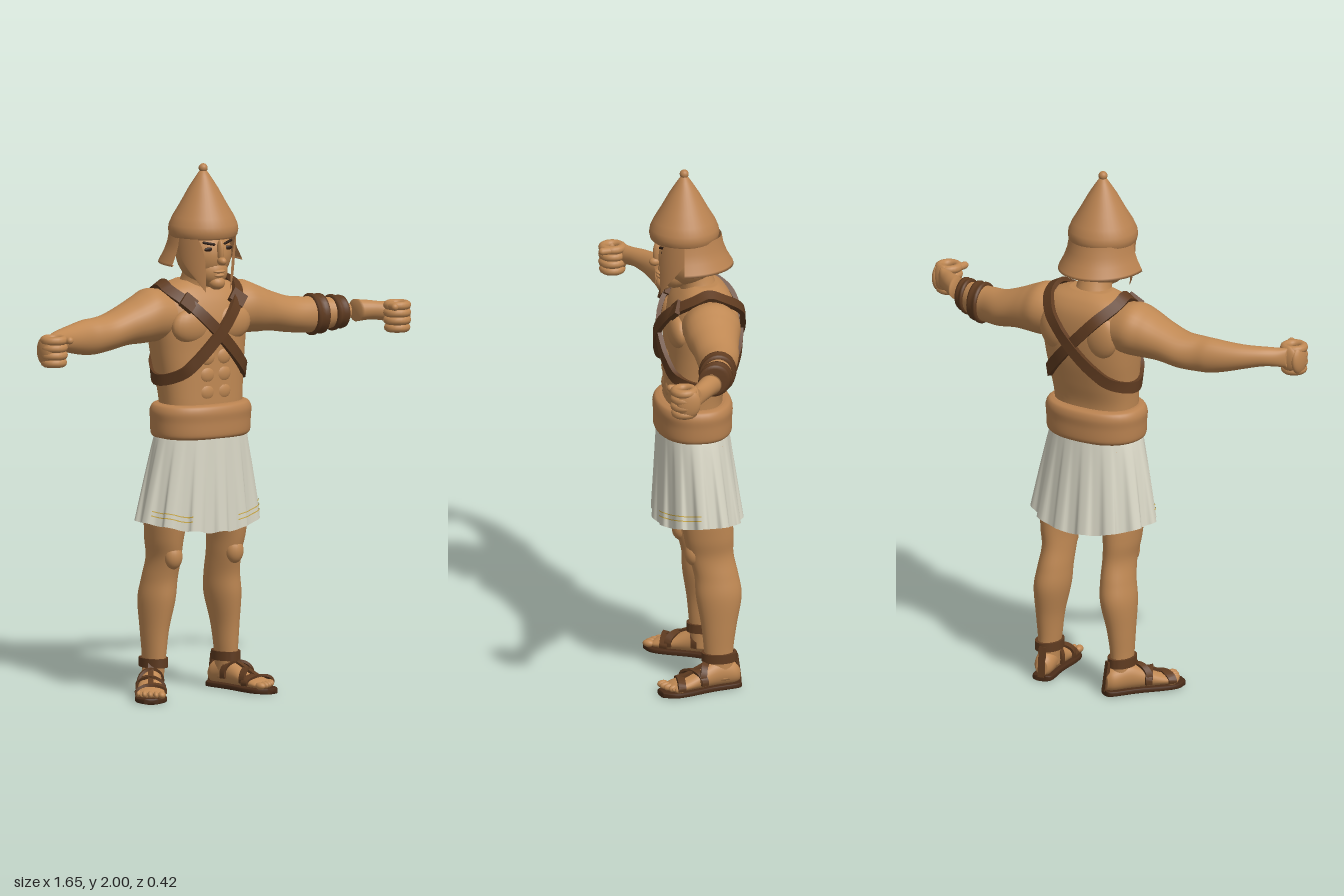
import * as THREE from 'three';
import { toCreasedNormals } from 'three/addons/utils/BufferGeometryUtils.js';
import { ParametricGeometry } from 'three/addons/geometries/ParametricGeometry.js';

const mat = (name, color, side = THREE.FrontSide) => {
  const m = new THREE.MeshStandardMaterial({ color, side });
  m.name = name;
  return m;
};
const V = (x, y, z) => new THREE.Vector3(x, y, z);

// Smoothly resample rings [t, a, b, ra, rb]
function sample(rings, n = 6) {
  const out = [], last = rings.length - 1;
  for (let i = 0; i < last; i++) for (let k = 0; k < n; k++) {
    const t = k / n, p = [i - 1, i, i + 1, i + 2].map(j => rings[Math.min(last, Math.max(0, j))]);
    out.push(rings[0].map((_, c) => {
      const [a, b, d, e] = p.map(r => r[c]);
      return b + 0.5 * t * (d - a + t * (2 * a - 5 * b + 4 * d - e + t * (3 * (b - d) + e - a)));
    }));
  }
  out.push(rings[last]);
  return out;
}
function ringAt(dense, t) {
  let i = 0;
  while (i < dense.length - 2 && dense[i + 1][0] < t) i++;
  const f = (t - dense[i][0]) / (dense[i + 1][0] - dense[i][0]);
  return dense[i].map((v, c) => v + (dense[i + 1][c] - v) * f);
}
// Capped skin over super-elliptic rings stacked along an axis
function loft(rings, axis, pow = 1, seg = 28) {
  const pos = [], idx = [], n = rings.length, flip = axis === 'y';
  const put = (t, a, b) => pos.push(...(axis === 'y' ? [a, t, b] : axis === 'x' ? [t, a, b] : [a, b, t]));
  const tri = (a, b, c) => idx.push(...(flip ? [a, c, b] : [a, b, c]));
  const se = v => Math.sign(v) * Math.abs(v) ** pow;
  for (const [t, a, b, ra, rb] of rings) for (let j = 0; j < seg; j++) {
    const th = j / seg * Math.PI * 2;
    put(t, a + ra * se(Math.cos(th)), b + rb * se(Math.sin(th)));
  }
  put(...rings[0]); put(...rings[n - 1]);
  for (let j = 0; j < seg; j++) {
    const k = (j + 1) % seg, e = (n - 1) * seg;
    for (let i = 0; i < n - 1; i++) {
      const p = i * seg, q = p + seg;
      tri(p + j, p + k, q + k); tri(p + j, q + k, q + j);
    }
    tri(n * seg, k, j); tri(n * seg + 1, e + j, e + k);
  }
  const g = new THREE.BufferGeometry();
  g.setAttribute('position', new THREE.Float32BufferAttribute(pos, 3));
  g.setIndex(idx);
  g.computeVertexNormals();
  return g;
}
function mirror(g, s) {
  if (s > 0) return g;
  g.scale(-1, 1, 1);
  const a = g.index.array;
  for (let i = 0; i < a.length; i += 3) [a[i], a[i + 1]] = [a[i + 1], a[i]];
  return g;
}
// Flat strap along a curve; centre(p) gives the point it faces away from
function strap(points, centre, w, h, closed, n = 90) {
  const curve = new THREE.CatmullRomCurve3(points, closed), pos = [], idx = [];
  const rows = closed ? n : n + 1;
  for (let i = 0; i < rows; i++) {
    const p = curve.getPoint(i / n), t = curve.getTangent(i / n);
    const nn = p.clone().sub(centre(p));
    nn.addScaledVector(t, -nn.dot(t)).normalize();
    const b = t.clone().cross(nn);
    for (const [x, y] of [[1, 1], [-1, 1], [-1, -1], [1, -1]])
      pos.push(...p.clone().addScaledVector(b, x * w / 2).addScaledVector(nn, y * h / 2).toArray());
  }
  for (let i = 0; i < n; i++) for (let j = 0; j < 4; j++) {
    const k = (j + 1) % 4, a = i * 4, d = ((i + 1) % rows) * 4;
    idx.push(a + j, d + j, d + k, a + j, d + k, a + k);
  }
  if (!closed) idx.push(0, 1, 2, 0, 2, 3, n * 4, n * 4 + 2, n * 4 + 1, n * 4, n * 4 + 3, n * 4 + 2);
  const g = new THREE.BufferGeometry();
  g.setAttribute('position', new THREE.Float32BufferAttribute(pos, 3));
  g.setIndex(idx);
  return toCreasedNormals(g, 0.7);
}

export function createModel() {
  const root = new THREE.Group();
  const skin = mat('skin', 0xbf8853), bronze = mat('bronze', 0xb98250, THREE.DoubleSide);
  const leather = mat('leather', 0x5f3b20), sole = mat('sole', 0x4a2c18);
  const cloth = mat('linen', 0xd9d7c6, THREE.DoubleSide), gold = mat('gold trim', 0xd2b04c, THREE.DoubleSide);
  const dark = mat('dark eyes', 0x2b1a10);
  const add = (name, g, m, parent = root) => {
    const mesh = new THREE.Mesh(g, m);
    mesh.name = name;
    parent.add(mesh);
    return mesh;
  };
  const ball = (name, m, p, r, parent = root) =>
    add(name, new THREE.SphereGeometry(1, 20, 14).scale(...r).translate(...p), m, parent);

  // Torso with muscles, and neck
  const torso = sample([[0.93, 0, -0.02, 0.165, 0.115], [1.05, 0, -0.02, 0.163, 0.108], [1.12, 0, -0.02, 0.165, 0.107],
    [1.2, 0, -0.03, 0.172, 0.116], [1.3, 0, -0.042, 0.185, 0.126], [1.4, 0, -0.047, 0.195, 0.13],
    [1.48, 0, -0.055, 0.192, 0.116], [1.53, 0, -0.058, 0.16, 0.088], [1.56, 0, -0.056, 0.08, 0.055]]);
  add('torso', loft(torso, 'y', 0.8, 40), skin);
  add('neck', loft(sample([[1.48, 0, -0.055, 0.1, 0.08], [1.55, 0, -0.04, 0.07, 0.068], [1.6, 0, -0.02, 0.062, 0.066],
    [1.66, 0, 0, 0.06, 0.06]]), 'y'), skin);
  for (const s of [1, -1]) {
    ball('chestMuscle', skin, [s * 0.085, 1.4, 0.05], [0.088, 0.068, 0.04]);
    ball('shoulderBlade', skin, [s * 0.095, 1.41, -0.14], [0.075, 0.09, 0.04]);
    for (const y of [1.28, 1.215, 1.15]) ball('abdominal', skin, [s * 0.035, y, 0.073], [0.036, 0.034, 0.018]);
  }

  // Crossed chest straps looping over shoulder and under the opposite arm
  const strapPoint = (s, f, side, lift) => {
    const y = 1.53 - 0.335 * s, x = 0.148 - 0.315 * s, r = ringAt(torso, y);
    const z = r[4] * Math.max(0, 1 - Math.abs(x / r[3]) ** 2.5) ** 0.4;
    return V(side * x, y, r[2] + f * (z + lift + 0.018 * Math.sin(Math.PI * s)));
  };
  for (const s of [1, -1]) {
    const lift = s > 0 ? 0.012 : 0.006, steps = [0, 0.15, 0.3, 0.45, 0.6, 0.75, 0.9];
    const pts = [V(s * 0.152, 1.552, -0.055), ...steps.map(k => strapPoint(k, 1, s, lift)), V(-s * 0.18, 1.195, -0.03),
      ...steps.reverse().map(k => strapPoint(k, -1, s, lift))];
    add('chestStrap', strap(pts, p => V(p.x * 0.55, Math.min(p.y, 1.42), -0.04), 0.042, 0.018, true), leather);
    const pad = add('strapBuckle', new THREE.BoxGeometry(0.06, 0.055, 0.02), leather);
    pad.position.copy(strapPoint(0.12, 1, s, 0.014));
    pad.rotation.set(-0.5, 0, -s * 0.75);
  }

  // Waist belt
  add('belt', loft(sample([[0.975, 0, -0.02, 0.182, 0.13], [0.99, 0, -0.02, 0.195, 0.143], [1.04, 0, -0.02, 0.198, 0.144],
    [1.075, 0, -0.02, 0.2, 0.146], [1.098, 0, -0.02, 0.19, 0.138], [1.105, 0, -0.02, 0.172, 0.12]]), 'y', 0.9, 40), bronze);

  // Pleated kilt, v = 0 at the hem
  const kilt = (a, v, off, out) => {
    const k = 1 - v, fold = Math.tanh(2 * Math.cos(13 * a + 0.9 * Math.sin(2 * a)));
    const f = 1 + fold * 0.045 * k;
    const rx = 0.182 + 0.068 * k ** 0.85, rz = 0.132 + 0.031 * k;
    const hem = (0.018 * Math.cos(2 * a) - 0.004 * fold) * k;
    out.set(Math.sin(a) * (rx * f + off), 1.0 - 0.355 * k - hem, -0.018 - 0.019 * k + Math.cos(a) * (rz * f + off));
  };
  add('kilt', new ParametricGeometry((u, v, p) => kilt((u - 0.5) * Math.PI * 2, v, 0, p), 220, 12), cloth);
  for (const v of [0.09, 0.14]) for (const a of [0.32, -1.3]) add('kiltTrim', new ParametricGeometry((u, w, p) =>
    kilt(a + u * (a > 0 ? 1.1 : 0.8), v + w * 0.011, 0.003, p), 60, 1), gold);

  // Arms; the left forearm is broken by a gap past the bracers
  const arm = sample([[0.12, 1.43, -0.055, 0.09, 0.1], [0.2, 1.438, -0.058, 0.1, 0.108], [0.26, 1.427, -0.052, 0.09, 0.1],
    [0.32, 1.413, -0.05, 0.077, 0.088], [0.4, 1.392, -0.045, 0.069, 0.078], [0.47, 1.385, -0.03, 0.068, 0.064],
    [0.52, 1.385, -0.023, 0.066, 0.058], [0.58, 1.387, -0.005, 0.056, 0.052], [0.64, 1.391, 0.02, 0.045, 0.046],
    [0.7, 1.394, 0.055, 0.037, 0.041], [0.745, 1.39, 0.088, 0.036, 0.036], [0.775, 1.388, 0.105, 0.04, 0.022]]);
  add('rightArm', mirror(loft(arm, 'x'), -1), skin);
  add('leftArm', loft(arm.filter(r => r[0] <= 0.611), 'x'), skin);
  add('leftArmStub', loft([[0.6, 1.385, 0.015, 0.035, 0.025], [0.64, 1.39, 0.022, 0.028, 0.018]], 'x'), skin);
  add('leftWrist', loft(arm.filter(r => r[0] >= 0.655), 'x'), skin);
  for (const [a, b] of [[0.492, 0.542], [0.572, 0.617]]) {
    const ring = (x, o) => { const r = ringAt(arm, x); return [x, r[1], r[2], r[3] + o, r[4] + o]; };
    add('bracer', loft([ring(a, 0.001), ring(a + 0.003, 0.011), ring(a + 0.012, 0.012), ring(a + 0.018, 0.007),
      ring(b - 0.018, 0.007), ring(b - 0.012, 0.012), ring(b - 0.003, 0.011), ring(b, 0.001)], 'x'), leather);
  }

  // Fists curled around an empty grip
  for (const s of [1, -1]) {
    const hand = new THREE.Group();
    hand.name = s > 0 ? 'leftHand' : 'rightHand';
    hand.position.set(s * 0.77, 0, 0.147);
    root.add(hand);
    [1.334, 1.362, 1.39, 1.418].forEach((y, i) => {
      const g = new THREE.TorusGeometry(0.036 - (i === 0 ? 0.003 : 0), 0.0165, 10, 24).rotateX(Math.PI / 2);
      add('finger', g.translate(0, y, 0), skin, hand);
    });
    ball('palm', skin, [s * 0.032, 1.378, -0.012], [0.021, 0.056, 0.045], hand);
    ball('palmHeel', skin, [s * 0.002, 1.385, -0.04], [0.04, 0.05, 0.018], hand);
    const thumb = new THREE.CapsuleGeometry(0.014, 0.05, 6, 12).rotateX(Math.PI / 2).rotateY(s * -0.15);
    add('thumb', thumb.translate(-s * 0.037, 1.418, 0.02), skin, hand);
  }

  // Legs
  const leg = sample([[0.04, 0.165, -0.095, 0.037, 0.05], [0.1, 0.163, -0.092, 0.037, 0.052], [0.16, 0.161, -0.09, 0.041, 0.056],
    [0.25, 0.158, -0.092, 0.049, 0.067], [0.36, 0.148, -0.093, 0.063, 0.086], [0.44, 0.14, -0.085, 0.06, 0.083],
    [0.52, 0.135, -0.066, 0.056, 0.085], [0.6, 0.139, -0.056, 0.064, 0.094], [0.72, 0.13, -0.045, 0.078, 0.1],
    [0.95, 0.095, -0.03, 0.085, 0.1]]);
  for (const s of [1, -1]) {
    add(s > 0 ? 'leftLeg' : 'rightLeg', mirror(loft(leg, 'y'), s), skin);
    ball('kneecap', skin, [s * 0.137, 0.53, 0.002], [0.036, 0.048, 0.032]);

    // Sandalled foot, heel at the group origin and toes along local z
    const foot = new THREE.Group();
    foot.name = s > 0 ? 'leftFoot' : 'rightFoot';
    foot.position.set(s > 0 ? 0.148 : -0.128, 0, s > 0 ? -0.172 : -0.165);
    foot.rotation.y = s > 0 ? 0.22 : -0.58;
    root.add(foot);
    const shape = sample([[0.006, 0, 0.05, 0.022, 0.03], [0.03, 0, 0.056, 0.036, 0.043], [0.09, 0, 0.064, 0.039, 0.052],
      [0.15, 0, 0.053, 0.043, 0.042], [0.21, 0, 0.04, 0.05, 0.027], [0.265, 0, 0.032, 0.05, 0.018], [0.285, 0, 0.03, 0.04, 0.01]]);
    add('foot', loft(shape, 'z'), skin, foot);
    for (let i = 0; i < 5; i++)
      ball('toe', skin, [s * (i * 0.0215 - 0.04), 0.032, 0.293 - i * i * 0.0022], [i ? 0.011 : 0.015, 0.014, 0.022], foot);
    add('sandalSole', loft(sample([[0, 0, 0.011, 0.02, 0.011], [0.02, 0, 0.011, 0.04, 0.011], [0.12, 0, 0.011, 0.043, 0.011],
      [0.22, 0, 0.011, 0.058, 0.011], [0.28, 0, 0.011, 0.056, 0.011], [0.32, 0, 0.011, 0.025, 0.011]]), 'z', 0.4), sole, foot);
    for (const [z, w, lean] of [[0.135, 0.024, 0.03], [0.185, 0.026, -0.025], [0.24, 0.03, 0.015]]) {
      const r = ringAt(shape, z), pts = [];
      for (let i = 0; i <= 8; i++) {
        const a = -0.3 + i / 8 * (Math.PI + 0.6);
        pts.push(V(Math.cos(a) * (r[3] + 0.005), r[2] + Math.sin(a) * (r[4] + 0.005), z + lean * Math.cos(a) * s));
      }
      add('footStrap', strap(pts, p => V(0, r[2] - 0.005, p.z), w, 0.01, false, 24), leather, foot);
    }
    add('instepStrap', strap([V(0, 0.125, 0.125), V(0, 0.104, 0.14), V(0, 0.085, 0.18), V(0, 0.06, 0.24)],
      () => V(0, 0, 0.1), 0.02, 0.01, false, 16), leather, foot);
    add('heelStrap', strap([V(0, 0.015, 0.003), V(0, 0.06, 0.008), V(0, 0.13, 0.018)],
      () => V(0, 0.06, 0.1), 0.026, 0.012, false, 12), leather, foot);
    // Ankle cuff
    const cuff = [];
    for (let i = 0; i < 16; i++) {
      const a = i / 16 * Math.PI * 2;
      cuff.push(V(s * 0.162 + Math.cos(a) * 0.043, 0.125, -0.092 + Math.sin(a) * 0.06));
    }
    add('ankleStrap', strap(cuff, p => V(s * 0.162, p.y, -0.092), 0.034, 0.012, true, 40), leather);
  }

  // Head and face
  ball('head', skin, [0, 1.665, 0], [0.1, 0.115, 0.113]);
  ball('jaw', skin, [0, 1.6, 0.05], [0.062, 0.06, 0.062]);
  ball('chin', skin, [0, 1.56, 0.088], [0.032, 0.026, 0.03]);
  ball('nose', skin, [0, 1.645, 0.122], [0.016, 0.016, 0.022]);
  ball('noseBridge', skin, [0, 1.68, 0.112], [0.012, 0.045, 0.018]);
  ball('upperLip', skin, [0, 1.605, 0.106], [0.026, 0.007, 0.014]);
  ball('lowerLip', skin, [0, 1.59, 0.105], [0.022, 0.008, 0.013]);
  for (const s of [1, -1]) {
    ball('eye', dark, [s * 0.042, 1.69, 0.099], [0.021, 0.008, 0.006]);
    const brow = add('eyebrow', new THREE.CapsuleGeometry(0.005, 0.04, 4, 8), dark);
    brow.position.set(s * 0.043, 1.712, 0.1);
    brow.rotation.set(0, s * 0.35, Math.PI / 2 + s * 0.2);
  }

  // Conical helmet with knob, neck guard and cheek plates
  const helmet = new THREE.Group();
  helmet.name = 'helmet';
  helmet.position.set(-0.008, 0, 0.01);
  root.add(helmet);
  const lathe = (pts, ...arc) => new THREE.LatheGeometry(pts.map(p => new THREE.Vector2(...p)), ...arc);
  add('helmetCone', lathe([[0.12, 1.728], [0.127, 1.735], [0.131, 1.755], [0.128, 1.775], [0.115, 1.805], [0.088, 1.85],
    [0.055, 1.91], [0.026, 1.955], [0.012, 1.975], [0, 1.978]], 40), bronze, helmet);
  ball('helmetKnob', bronze, [0, 1.983, 0], [0.017, 0.017, 0.017], helmet);
  add('neckGuard', lathe([[0.158, 1.632], [0.168, 1.627], [0.165, 1.636], [0.147, 1.67], [0.134, 1.705], [0.127, 1.745]],
    32, Math.PI - 1.72, 3.44).scale(0.95, 1, 1.1), bronze, helmet);
  for (const s of [1, -1]) add('cheekPlate', new ParametricGeometry((u, v, p) => {
    const w = 1 - v, k = s > 0 ? u : 1 - u;
    const a0 = 0.5 + 0.3 * v ** 4, a = a0 + (1.7 - 0.85 * w ** 1.5 - a0) * k, r = 0.124 - 0.012 * w;
    p.set(s * Math.sin(a) * r, 1.742 - w * (0.212 - 0.05 * k), Math.cos(a) * r);
  }, 14, 14), bronze, helmet);
  return root;
}
